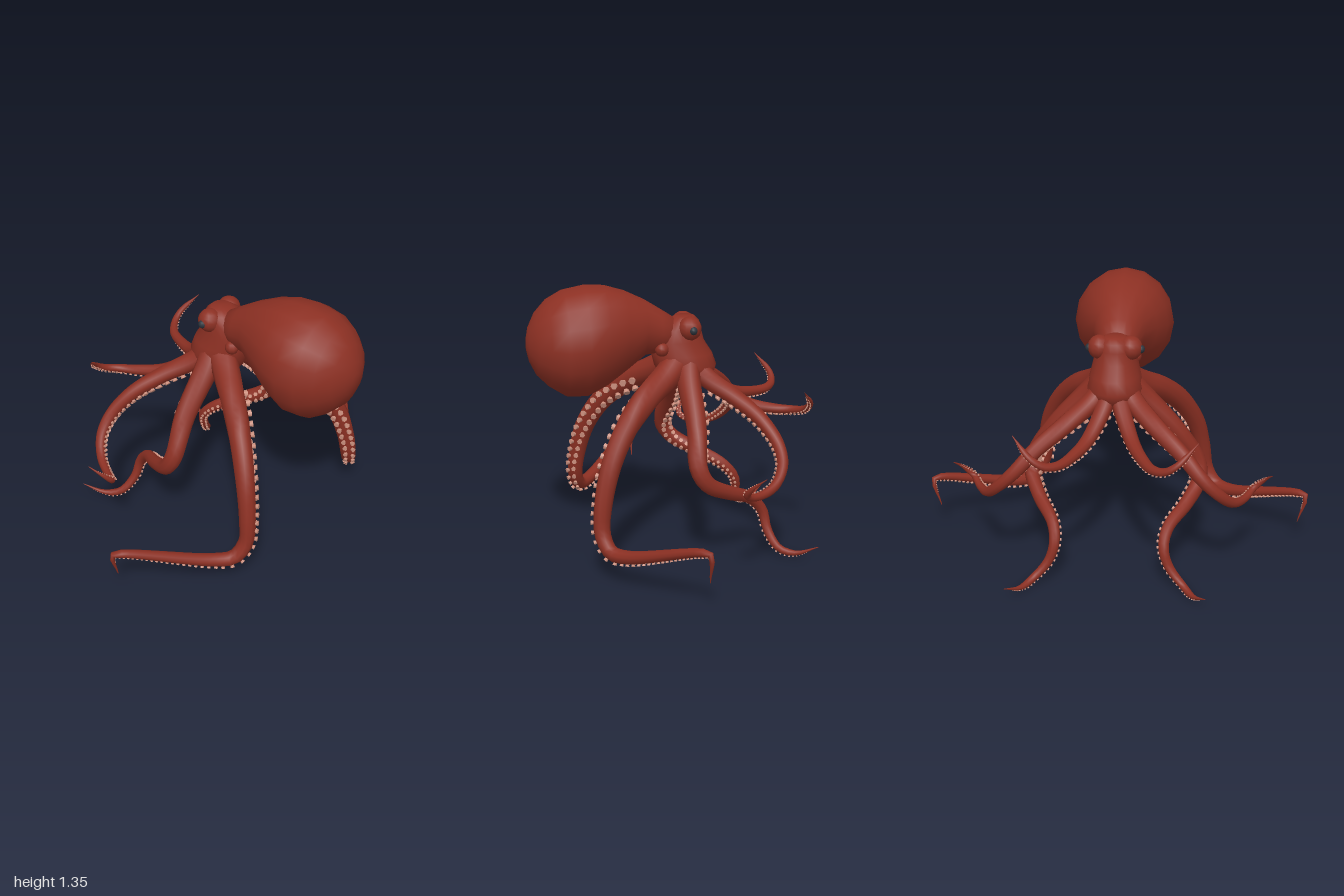
import * as THREE from 'three';
import { mergeGeometries } from 'three/addons/utils/BufferGeometryUtils.js';

const V = (x, y, z) => new THREE.Vector3(x, y, z);
const skin = new THREE.MeshStandardMaterial({ color: 0x8c3023 });
const pink = new THREE.MeshStandardMaterial({ color: 0xcf9280 });
const dark = new THREE.MeshStandardMaterial({ color: 0x2c343c });

// Closed skin over rings of equal point count, capped at both ends
function loft(rings) {
  const n = rings[0].length, pos = [], idx = [];
  rings.forEach(r => r.forEach(p => pos.push(p.x, p.y, p.z)));
  for (let i = 0; i < rings.length - 1; i++) {
    for (let j = 0; j < n; j++) {
      const a = i * n + j, b = i * n + (j + 1) % n;
      idx.push(a, b, a + n, b, b + n, a + n);
    }
  }
  for (const i of [0, rings.length - 1]) {
    const c = rings[i].reduce((s, p) => s.add(p), V(0, 0, 0)).divideScalar(n);
    const k = pos.length / 3;
    pos.push(c.x, c.y, c.z);
    for (let j = 0; j < n; j++) {
      const a = i * n + j, b = i * n + (j + 1) % n;
      if (i === 0) idx.push(k, b, a); else idx.push(k, a, b);
    }
  }
  const g = new THREE.BufferGeometry();
  g.setAttribute('position', new THREE.Float32BufferAttribute(pos, 3));
  g.setIndex(idx);
  g.computeVertexNormals();
  return g;
}

// Ellipse of n points around c with half axes u and v
function ring(c, u, v, n) {
  return Array.from({ length: n }, (_, j) => {
    const a = j / n * Math.PI * 2;
    return c.clone().addScaledVector(u, Math.cos(a)).addScaledVector(v, Math.sin(a));
  });
}

function add(parent, name, geometry, material, x = 0, y = 0, z = 0) {
  const m = new THREE.Mesh(geometry, material);
  m.name = name;
  m.position.set(x, y, z);
  parent.add(m);
  return m;
}

// One tapering arm along a path; faces are sucker directions from base to tip
function buildArm(name, side, base, path, faces) {
  const group = new THREE.Group();
  group.name = name;
  const mirror = ([x, y, z]) => V(x, y, z * side);
  const curve = new THREE.CatmullRomCurve3(path.map(mirror));
  const dirs = faces.map(mirror);
  const at = t => {
    const f = t * (dirs.length - 1), j = Math.min(Math.floor(f), dirs.length - 2);
    const d = curve.getTangentAt(t);
    const n = dirs[j].clone().lerp(dirs[j + 1], f - j);
    n.addScaledVector(d, -n.dot(d)).normalize();
    const r = base * (1 - 0.8 * t) * Math.min(1, 0.15 + (1 - t) * 8);
    return { p: curve.getPointAt(t), n, s: d.cross(n), r };
  };

  const steps = 48;
  const rings = Array.from({ length: steps + 1 }, (_, i) => {
    const { p, n, s, r } = at(i / steps);
    return ring(p, n.multiplyScalar(r * 0.92), s.multiplyScalar(r), 10);
  });
  add(group, 'limb', loft(rings), skin);

  // Two staggered rows of suckers
  const cups = [], up = V(0, 1, 0), length = curve.getLength();
  let row = 1;
  for (let t = 0.13; t < 0.96;) {
    const { p, n, s, r } = at(t);
    const dir = n.addScaledVector(s, row * 0.5).normalize();
    const cup = new THREE.CylinderGeometry(r * 0.3, r * 0.2, r * 0.4, 6);
    cup.applyQuaternion(new THREE.Quaternion().setFromUnitVectors(up, dir));
    p.addScaledVector(dir, r * 1.02);
    cups.push(cup.translate(p.x, p.y, p.z));
    row = -row;
    t += (r * 0.42 + 0.002) / length;
  }
  add(group, 'suckers', mergeGeometries(cups), pink);
  return group;
}

function backArm(side) {
  return buildArm('backArm', side, 0.073,
    [[-0.07, 0.95, 0.05], [0.02, 0.88, 0.12], [0.13, 0.81, 0.21], [0.25, 0.69, 0.31],
      [0.34, 0.53, 0.39], [0.385, 0.36, 0.43], [0.395, 0.22, 0.455], [0.365, 0.145, 0.51],
      [0.3, 0.145, 0.585], [0.03, 0.288, 0.935], [-0.004, 0.29, 0.975], [-0.012, 0.14, 0.94]],
    [[0.1, -1, -0.5], [0.7, -0.4, -0.6], [0.6, -0.8, -0.4], [0, -1, -0.4], [0, -1, -0.5]]);
}

function sideArm(side) {
  return buildArm('sideArm', side, 0.065,
    [[-0.11, 0.96, 0.05], [-0.1, 0.87, 0.13], [-0.1, 0.68, 0.305], [-0.085, 0.5, 0.42],
      [-0.13, 0.42, 0.425], [-0.25, 0.35, 0.37], [-0.39, 0.28, 0.285], [-0.455, 0.205, 0.27],
      [-0.475, 0.11, 0.3], [-0.515, 0.035, 0.37], [-0.585, 0.02, 0.42], [-0.685, 0.07, 0.485]],
    [[-0.5, -0.5, -0.6], [-0.8, -0.3, -0.6], [0, -0.2, -1], [0.6, -0.4, -0.6], [0.2, -1, -0.3]]);
}

function frontSideArm(side) {
  return buildArm('frontSideArm', side, 0.058,
    [[-0.14, 0.95, 0.04], [-0.2, 0.87, 0.1], [-0.31, 0.795, 0.21], [-0.42, 0.7, 0.35],
      [-0.475, 0.6, 0.45], [-0.47, 0.52, 0.53], [-0.41, 0.45, 0.6], [-0.31, 0.427, 0.66],
      [-0.247, 0.45, 0.7], [-0.262, 0.505, 0.75], [-0.315, 0.555, 0.785]],
    [[0.3, -1, -0.3], [0.8, -0.6, -0.3], [0.8, 0.1, -0.5], [-0.3, 0.3, -0.8]]);
}

function frontArm(side) {
  return buildArm('frontArm', side, 0.05,
    [[-0.17, 0.95, 0.02], [-0.23, 0.86, 0.04], [-0.31, 0.785, 0.075], [-0.4, 0.733, 0.115],
      [-0.52, 0.712, 0.17], [-0.61, 0.712, 0.22], [-0.658, 0.728, 0.28], [-0.665, 0.77, 0.34],
      [-0.605, 0.855, 0.43]],
    [[0.2, -1, -0.2], [0, -1, 0], [0.5, 0, 0.6]]);
}

// Bulbous mantle; sections give x, centre height, radius
function mantle() {
  const sections = [
    [-0.06, 1.08, 0.08], [0.02, 1.1, 0.112], [0.1, 1.121, 0.141], [0.2, 1.108, 0.202],
    [0.3, 1.088, 0.252], [0.4, 1.066, 0.279], [0.5, 1.058, 0.268], [0.58, 1.062, 0.22],
    [0.64, 1.06, 0.157], [0.675, 1.06, 0.085], [0.687, 1.06, 0.03],
  ];
  return loft(sections.map(([x, y, r]) => ring(V(x, y, 0), V(0, r, 0), V(0, 0, r * 0.93), 16)));
}

// Head and arm crown, bottom up; sections give y, centre x, half depth, half width
function head() {
  const sections = [
    [0.82, -0.105, 0.085, 0.07], [0.865, -0.12, 0.135, 0.125], [0.92, -0.113, 0.158, 0.14],
    [0.98, -0.095, 0.155, 0.125], [1.05, -0.072, 0.133, 0.108], [1.11, -0.08, 0.11, 0.1],
    [1.15, -0.1, 0.08, 0.085], [1.172, -0.108, 0.048, 0.05],
  ];
  return loft(sections.map(([y, x, d, w]) => ring(V(x, y, 0), V(0, 0, w), V(d, 0, 0), 18)));
}

export function createModel() {
  const model = new THREE.Group();
  model.name = 'octopus';
  add(model, 'mantle', mantle(), skin);
  add(model, 'head', head(), skin);

  for (const side of [1, -1]) {
    // Eye in its raised socket, with a siphon bump behind
    add(model, 'eyeSocket', new THREE.SphereGeometry(0.06, 12, 9), skin, -0.118, 1.118, 0.075 * side);
    add(model, 'eye', new THREE.SphereGeometry(0.021, 10, 8), dark, -0.125, 1.116, 0.125 * side);
    add(model, 'siphon', new THREE.SphereGeometry(0.035, 10, 8), skin, 0.025, 1.02, 0.085 * side);
    model.add(backArm(side), sideArm(side), frontSideArm(side), frontArm(side));
  }
  return model;
}
